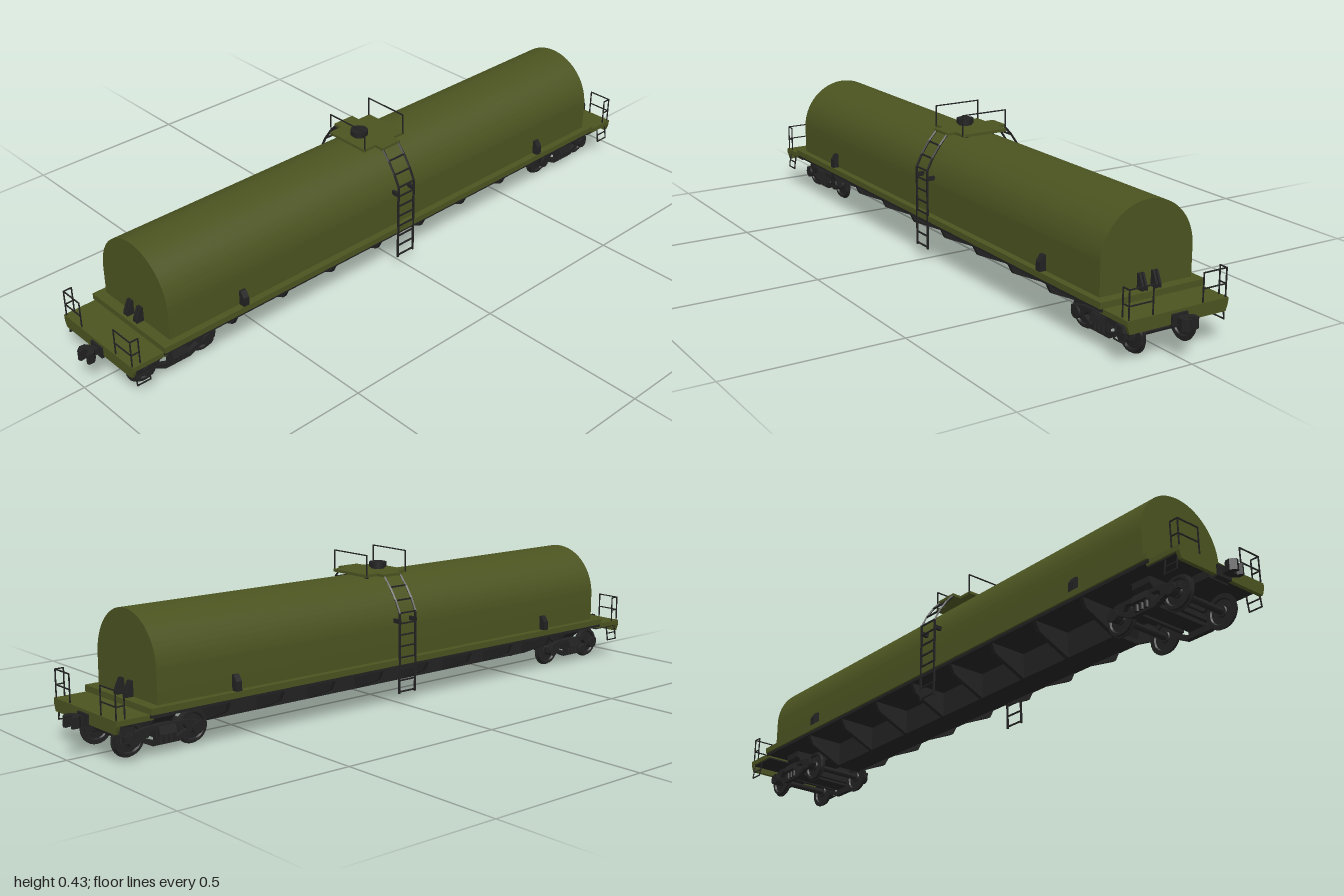
import * as THREE from 'three';
import { toCreasedNormals } from 'three/addons/utils/BufferGeometryUtils.js';

const olive = new THREE.MeshStandardMaterial({ color: 0x4b5320 });
const dark = new THREE.MeshStandardMaterial({ color: 0x222222 });
const V = (x, y, z) => new THREE.Vector3(x, y, z);

function add(parent, name, geo, mat, x = 0, y = 0, z = 0) {
  const m = new THREE.Mesh(geo, mat);
  m.name = name;
  m.position.set(x, y, z);
  parent.add(m);
  return m;
}

// Box given by its limits
function box(parent, name, mat, x0, x1, y0, y1, z0, z1) {
  return add(parent, name, new THREE.BoxGeometry(x1 - x0, y1 - y0, z1 - z0), mat,
    (x0 + x1) / 2, (y0 + y1) / 2, (z0 + z1) / 2);
}

// Outline in x,y extruded between two z positions
function slab(parent, name, mat, pts, z0, z1) {
  const shape = new THREE.Shape(pts.map(p => new THREE.Vector2(...p)));
  const geo = new THREE.ExtrudeGeometry(shape, { depth: z1 - z0, bevelEnabled: false });
  return add(parent, name, geo, mat, 0, 0, z0);
}

// Square rod following a list of points
function rod(parent, name, pts, t = 0.004) {
  for (let i = 1; i < pts.length; i++) {
    const d = pts[i].clone().sub(pts[i - 1]);
    const m = add(parent, name, new THREE.BoxGeometry(t, t, d.length() + t * 0.8), dark);
    m.position.copy(pts[i]).add(pts[i - 1]).multiplyScalar(0.5);
    m.quaternion.setFromUnitVectors(V(0, 0, 1), d.normalize());
  }
}

function tank(g) {
  const s = new THREE.Shape();
  s.moveTo(-0.143, 0.13);
  s.lineTo(0.143, 0.13);
  s.lineTo(0.143, 0.222);
  s.absarc(0, 0.222, 0.143, 0, Math.PI, false);
  s.lineTo(-0.143, 0.13);
  const geo = new THREE.ExtrudeGeometry(s, { depth: 1.64, bevelEnabled: false, curveSegments: 32 });
  add(g, 'tank', toCreasedNormals(geo, 0.6), olive, 0, 0, -0.82);
}

function underframe(g) {
  box(g, 'deck', olive, -0.163, 0.163, 0.122, 0.139, -0.85, 0.85);
  box(g, 'floor', dark, -0.158, 0.158, 0.113, 0.122, -0.85, 0.85);
  // Deep centre beam with tapered ends
  const side = new THREE.Shape([[-0.64, 0.12], [-0.615, 0.04], [0.615, 0.04], [0.64, 0.12]]
    .map(p => new THREE.Vector2(...p)));
  const beam = new THREE.ExtrudeGeometry(side, { depth: 0.08, bevelEnabled: false });
  beam.translate(0, 0, -0.04).rotateY(Math.PI / 2);
  add(g, 'centreBeam', beam, dark);
  box(g, 'draftSill', dark, -0.035, 0.035, 0.082, 0.115, -0.93, 0.93);
  // Cross ribs carrying the deck
  for (let i = 0; i < 8; i++) {
    const z = -0.612 + i * 0.175;
    slab(g, 'crossRib', dark,
      [[-0.155, 0.115], [-0.14, 0.085], [-0.04, 0.04], [0.04, 0.04], [0.14, 0.085], [0.155, 0.115]],
      z - 0.006, z + 0.006);
  }
}

function bogie(g) {
  const b = new THREE.Group();
  b.name = 'bogie';
  // Wheel profile: hub, web, tread, flange
  const profile = [[0.001, 0.012], [0.014, 0.012], [0.016, 0.008], [0.033, 0.007], [0.036, 0.012],
    [0.043, 0.012], [0.044, 0.004], [0.048, 0.003], [0.048, 0], [0.036, 0], [0.033, 0.004],
    [0.016, 0.003], [0.014, 0], [0.001, 0]].reverse().map(p => new THREE.Vector2(...p));
  const wheel = toCreasedNormals(new THREE.LatheGeometry(profile, 28), 0.5);
  for (const z of [-0.095, 0.095]) {
    add(b, 'axle', new THREE.CylinderGeometry(0.009, 0.009, 0.21, 12), dark, 0, 0.048, z)
      .rotation.z = Math.PI / 2;
    for (const s of [-1, 1]) {
      add(b, 'wheel', wheel, dark, s * 0.075, 0.048, z).rotation.z = -s * Math.PI / 2;
      add(b, 'axleBox', new THREE.CylinderGeometry(0.017, 0.017, 0.022, 12), dark, s * 0.102, 0.05, z)
        .rotation.z = Math.PI / 2;
    }
  }
  // Cast side frames with a window either side of the springs
  const f = new THREE.Shape([[-0.12, 0.045], [-0.075, 0.042], [-0.04, 0.024], [0.04, 0.024],
    [0.075, 0.042], [0.12, 0.045], [0.12, 0.062], [0.06, 0.076], [-0.06, 0.076], [-0.12, 0.062]]
    .map(p => new THREE.Vector2(...p)));
  for (const s of [-1, 1]) {
    f.holes.push(new THREE.Path([[0.03, 0.036], [0.03, 0.064], [0.055, 0.064], [0.065, 0.05]]
      .map(([x, y]) => new THREE.Vector2(s * x, y))));
  }
  const frame = new THREE.ExtrudeGeometry(f, { depth: 0.014, bevelEnabled: false });
  frame.translate(0, 0, -0.007).rotateY(Math.PI / 2);
  for (const s of [-1, 1]) {
    add(b, 'sideFrame', frame, dark, s * 0.1, 0, 0);
    for (const z of [-0.016, 0, 0.016]) {
      add(b, 'spring', new THREE.CylinderGeometry(0.007, 0.007, 0.034, 10), dark, s * 0.107, 0.047, z);
    }
  }
  slab(b, 'bolster', dark, [[-0.12, 0.052], [-0.09, 0.04], [0.09, 0.04], [0.12, 0.052],
    [0.113, 0.074], [-0.113, 0.074]], -0.025, 0.025);
  slab(b, 'bodyBolster', dark, [[-0.085, 0.076], [0.085, 0.076], [0.107, 0.095],
    [0.107, 0.115], [-0.107, 0.115], [-0.107, 0.095]], -0.03, 0.03);
  add(b, 'centrePlate', new THREE.CylinderGeometry(0.035, 0.035, 0.012, 20), dark, 0, 0.075, 0);
  for (const z of [-0.042, 0.042]) box(b, 'brakeBeam', dark, -0.085, 0.085, 0.042, 0.052, z - 0.005, z + 0.005);
  b.position.z = 0.775;
  g.add(b);
}

function carEnd() {
  const e = new THREE.Group();
  e.name = 'carEnd';
  box(e, 'endPlatform', olive, -0.155, 0.155, 0.108, 0.122, 0.84, 0.945);
  box(e, 'platformUnderside', dark, -0.15, 0.15, 0.104, 0.108, 0.84, 0.935);
  slab(e, 'endSill', olive, [[-0.148, 0.087], [0.148, 0.087], [0.155, 0.108], [0.155, 0.122],
    [-0.155, 0.122], [-0.155, 0.108]], 0.935, 0.946);
  bogie(e);

  // Coupler with an open knuckle
  box(e, 'couplerShank', dark, -0.011, 0.011, 0.09, 0.108, 0.92, 0.972);
  box(e, 'couplerPocket', dark, -0.024, 0.024, 0.082, 0.114, 0.935, 0.952);
  const jaw = new THREE.Shape([[-0.011, 0.962], [0.011, 0.962], [0.025, 0.974], [0.025, 0.99],
    [0.017, 0.993], [0.009, 0.98], [-0.005, 0.98], [-0.002, 0.997], [-0.012, 1], [-0.024, 0.986],
    [-0.022, 0.972]].map(p => new THREE.Vector2(...p)));
  const head = new THREE.ExtrudeGeometry(jaw, { depth: 0.03, bevelEnabled: false });
  head.rotateX(Math.PI / 2);
  add(e, 'couplerHead', head, dark, 0, 0.113, 0);

  for (const s of [-1, 1]) {
    // Wedge brackets on the tank end
    const w = new THREE.Shape([[0.815, 0.139], [0.842, 0.139], [0.842, 0.15], [0.828, 0.181], [0.815, 0.181]]
      .map(([z, y]) => new THREE.Vector2(-z, y)));
    for (const x of [0.016, 0.027]) {
      const plate = new THREE.ExtrudeGeometry(w, { depth: 0.006, bevelEnabled: false });
      plate.translate(0, 0, -0.003).rotateY(Math.PI / 2);
      add(e, 'endBracket', plate, dark, s * x, 0, 0);
    }
    box(e, 'endBracketWeb', dark, s * 0.0215 - 0.005, s * 0.0215 + 0.005, 0.139, 0.178, 0.815, 0.828);
    // Corner railing, returning along the side
    const [a, b, z0, z1] = [s * 0.077, s * 0.149, 0.942, 0.918];
    rod(e, 'endRailing', [V(a, 0.12, z0), V(a, 0.198, z0), V(b, 0.198, z0), V(b, 0.12, z0)], 0.003);
    rod(e, 'endRailing', [V(b, 0.198, z0), V(b, 0.198, z1), V(b, 0.12, z1)], 0.003);
    rod(e, 'endRailing', [V(a, 0.157, z0), V(b, 0.157, z0), V(b, 0.157, z1)], 0.003);
    // Stirrup step under the corner
    for (const y of [0.062, 0.083]) {
      const x = s * (y < 0.07 ? 0.154 : 0.15);
      rod(e, 'cornerStep', [V(s * 0.147, 0.11, 0.895), V(x, y, 0.895), V(x, y, 0.935), V(s * 0.147, 0.11, 0.935)], 0.003);
    }
  }
  return e;
}

function topPlatform(g) {
  const s = new THREE.Shape([[-0.1, -0.035], [-0.072, -0.035], [-0.072, -0.078], [0.072, -0.078],
    [0.072, -0.035], [0.1, -0.035], [0.1, 0.035], [0.072, 0.035], [0.072, 0.078], [-0.072, 0.078],
    [-0.072, 0.035], [-0.1, 0.035]].map(p => new THREE.Vector2(...p)));
  const geo = new THREE.ExtrudeGeometry(s, { depth: 0.008, bevelEnabled: false });
  geo.rotateX(Math.PI / 2);
  add(g, 'topPlatform', geo, olive, 0, 0.375, 0);
  for (const z of [-0.05, 0.05]) box(g, 'platformSupport', dark, -0.046, 0.046, 0.352, 0.367, z - 0.004, z + 0.004);
  add(g, 'hatch', new THREE.CylinderGeometry(0.02, 0.02, 0.012, 20), dark, 0, 0.38, 0.03);
  add(g, 'hatchLid', new THREE.CylinderGeometry(0.025, 0.025, 0.014, 20), dark, 0, 0.387, 0.03);
  for (const z of [-0.074, 0.074]) {
    rod(g, 'topRailing', [V(-0.071, 0.37, z), V(-0.071, 0.43, z), V(0.071, 0.43, z), V(0.071, 0.37, z)], 0.003);
  }
}

function sideFittings(g, s) {
  // Ladder curving over the tank shoulder
  const path = [[0.098, 0.368], [0.122, 0.341], [0.146, 0.306], [0.163, 0.272], [0.163, 0.04]];
  for (const z of [-0.03, 0.03]) {
    rod(g, 'ladderRail', path.map(([x, y]) => V(s * x, y, z)), 0.005);
    box(g, 'ladderBracket', dark, s * 0.152 - 0.013, s * 0.152 + 0.013, 0.242, 0.254, z - 0.004, z + 0.004);
  }
  const rungs = path.slice(1, 4);
  for (let y = 0.242; y > 0.04; y -= 0.033) rungs.push([0.163, y]);
  for (const [x, y] of rungs) rod(g, 'ladderRung', [V(s * x, y, -0.03), V(s * x, y, 0.03)], 0.004);
  // Saddle brackets
  for (const z of [-0.585, 0.585]) {
    const pts = [[0.14, 0.138], [0.162, 0.138], [0.162, 0.165], [0.15, 0.182], [0.14, 0.182]];
    slab(g, 'saddleBracket', dark, pts.map(([x, y]) => [s * x, y]), z - 0.009, z + 0.009);
  }
}

export function createModel() {
  const g = new THREE.Group();
  g.name = 'tankCar';
  tank(g);
  underframe(g);
  topPlatform(g);
  for (const s of [-1, 1]) sideFittings(g, s);
  const front = carEnd();
  const back = carEnd();
  back.rotation.y = Math.PI;
  g.add(front, back);
  return g;
}
